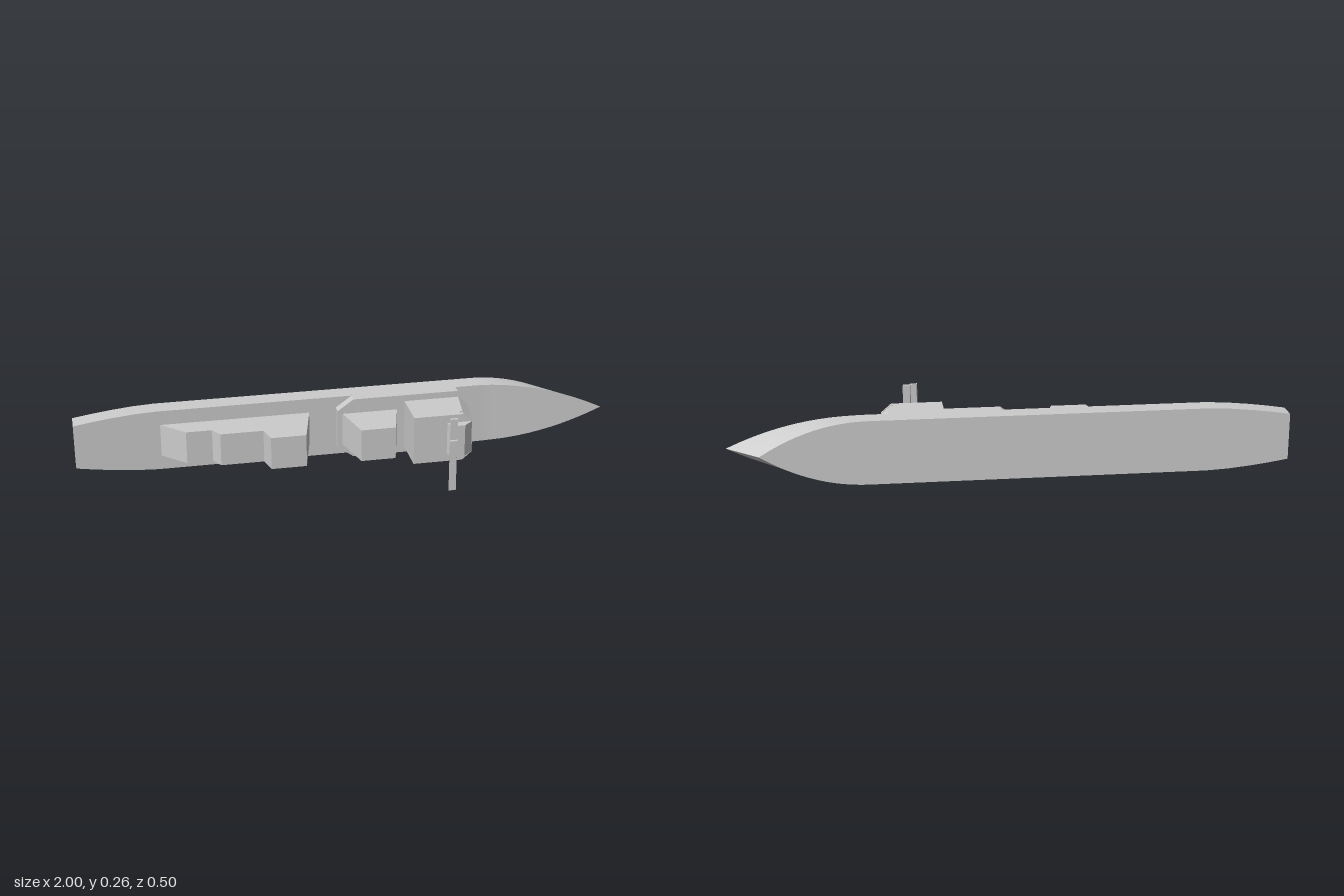
import * as THREE from 'three';
import { toCreasedNormals } from 'three/addons/utils/BufferGeometryUtils.js';

const MID = 0.129; // height of the ship's centre plane
const DECK = -0.173, KEEL = -0.247;
const material = new THREE.MeshStandardMaterial({ color: 0xcccccc });

function add(group, name, geometry) {
  const mesh = new THREE.Mesh(geometry, material);
  mesh.name = name;
  group.add(mesh);
  return mesh;
}

// Skin a row of rings (each ring counter-clockwise about the row's direction), with caps
function loft(rings, crease = 0.4) {
  const n = rings[0].length, pos = [], index = [];
  rings.forEach(r => r.forEach(p => pos.push(...p)));
  for (let k = 0; k < rings.length - 1; k++) {
    for (let i = 0; i < n; i++) {
      const a = k * n + i, b = k * n + (i + 1) % n;
      index.push(a, b, b + n, a, b + n, a + n);
    }
  }
  const last = (rings.length - 1) * n;
  for (let i = 1; i < n - 1; i++) {
    index.push(0, i + 1, i);
    index.push(last, last + i, last + i + 1);
  }
  const g = new THREE.BufferGeometry();
  g.setAttribute('position', new THREE.Float32BufferAttribute(pos, 3));
  g.setIndex(index);
  return toCreasedNormals(g, crease);
}

// Extrude an x-z profile through a range of y
function slab(profile, y0, y1, hole) {
  const shape = new THREE.Shape(profile.map(p => new THREE.Vector2(...p)));
  if (hole) shape.holes.push(new THREE.Path(hole.map(p => new THREE.Vector2(...p))));
  return new THREE.ExtrudeGeometry(shape, { depth: y1 - y0, bevelEnabled: false })
    .rotateX(Math.PI / 2).translate(0, y1, 0);
}

// Deckhouse with a recessed window slot on both sides
function deckhouse(name, profile, slot, half) {
  const house = new THREE.Group();
  house.name = name;
  const d = 0.012;
  add(house, 'deckhouseCore', slab(profile, MID - half + d, MID + half - d));
  add(house, 'slottedSide', slab(profile, MID + half - d, MID + half, slot));
  add(house, 'slottedSide', slab(profile, MID - half, MID - half + d, slot));
  return house;
}

function hull() {
  const outline = [[-1, 0.085], [-0.93, 0.096], [-0.86, 0.105], [-0.78, 0.113], [-0.7, 0.117]];
  for (let i = 0; i <= 20; i++) {
    const t = i / 20;
    outline.push([0.5 + 0.5 * t, Math.max(0.117 * (1 - Math.pow(t, 2.1)), 0.0004)]);
  }
  return loft(outline.map(([x, h]) => {
    const low = x > 0.5 ? 0.5 + (x - 0.5) * 0.765 : x; // raked stem
    const deck = DECK + Math.max(0, x - 0.56) * 0.075; // rising sheer
    return [[low, MID - h, KEEL], [low, MID + h, KEEL], [x, MID + h, deck], [x, MID - h, deck]];
  }));
}

// Bridge section: square at the back, chamfered at the front
function bridgeRing(z, front, chamferX) {
  const w = 0.093, c = 0.062;
  return [[0.225, -w], [chamferX, -w], [front, -c], [front, c], [chamferX, w], [0.225, w]]
    .map(([x, y]) => [x, MID + y, z]);
}

function bridge() {
  const at = (z, inset = 0) => {
    const t = (z + 0.14) / 0.16;
    return bridgeRing(z, 0.468 - 0.022 * t - inset, 0.432 - 0.022 * t - inset);
  };
  // the inset rings form the window band
  return loft([at(-0.14), at(-0.009), at(-0.009, 0.01), at(0.003, 0.01), at(0.003), at(0.02)], 0.1);
}

function mast() {
  const group = new THREE.Group();
  group.name = 'mast';
  const xAt = z => 0.371 - (z - 0.04) * 0.28;
  const ring = (z, w, h) => [[-w, -h], [w, -h], [w, h], [-w, h]]
    .map(([x, y]) => [xAt(z) + x, MID + y, z]);
  add(group, 'mastPole', loft([ring(0.04, 0.012, 0.011), ring(0.248, 0.012, 0.011)]));
  for (const [z, reach] of [[0.129, 0.128], [0.242, 0.097]]) {
    add(group, 'crossArm', loft([ring(z - 0.0055, 0.0135, reach), ring(z + 0.0055, 0.0135, reach)]));
  }
  return group;
}

export function createModel() {
  const ship = new THREE.Group();
  ship.name = 'ship';
  add(ship, 'hull', hull());

  // Raised full-width platform with cut corners
  const platform = [[-0.03, -0.074], [0.03, -0.117], [0.43, -0.117], [0.49, -0.074],
    [0.49, 0.074], [0.43, 0.117], [0.03, 0.117], [-0.03, 0.074]];
  add(ship, 'raisedPlatform', loft([DECK - 0.01, -0.137].map(z => platform.map(([x, y]) => [x, MID + y, z]))));

  // Stepped aft deckhouse
  ship.add(deckhouse('aftDeckhouse',
    [[-0.69, DECK - 0.004], [-0.6, -0.09], [-0.505, -0.09], [-0.48, -0.048], [-0.322, -0.048],
      [-0.305, 0.02], [-0.175, 0.02], [-0.13, DECK - 0.004]],
    [[-0.303, -0.048], [-0.293, -0.02], [-0.19, -0.02], [-0.18, -0.048]], 0.062));

  // Middle deckhouse
  ship.add(deckhouse('middleDeckhouse',
    [[-0.012, -0.14], [0.028, 0.02], [0.157, 0.02], [0.197, -0.14]],
    [[0.031, -0.048], [0.041, -0.02], [0.148, -0.02], [0.158, -0.048]], 0.062));

  // Bridge, its roof block and the mast
  add(ship, 'bridge', bridge());
  add(ship, 'bridgeRoof', slab([[0.35, 0.018], [0.36, 0.052], [0.41, 0.052], [0.446, 0.018]], MID - 0.062, MID + 0.062));
  ship.add(mast());
  return ship;
}
